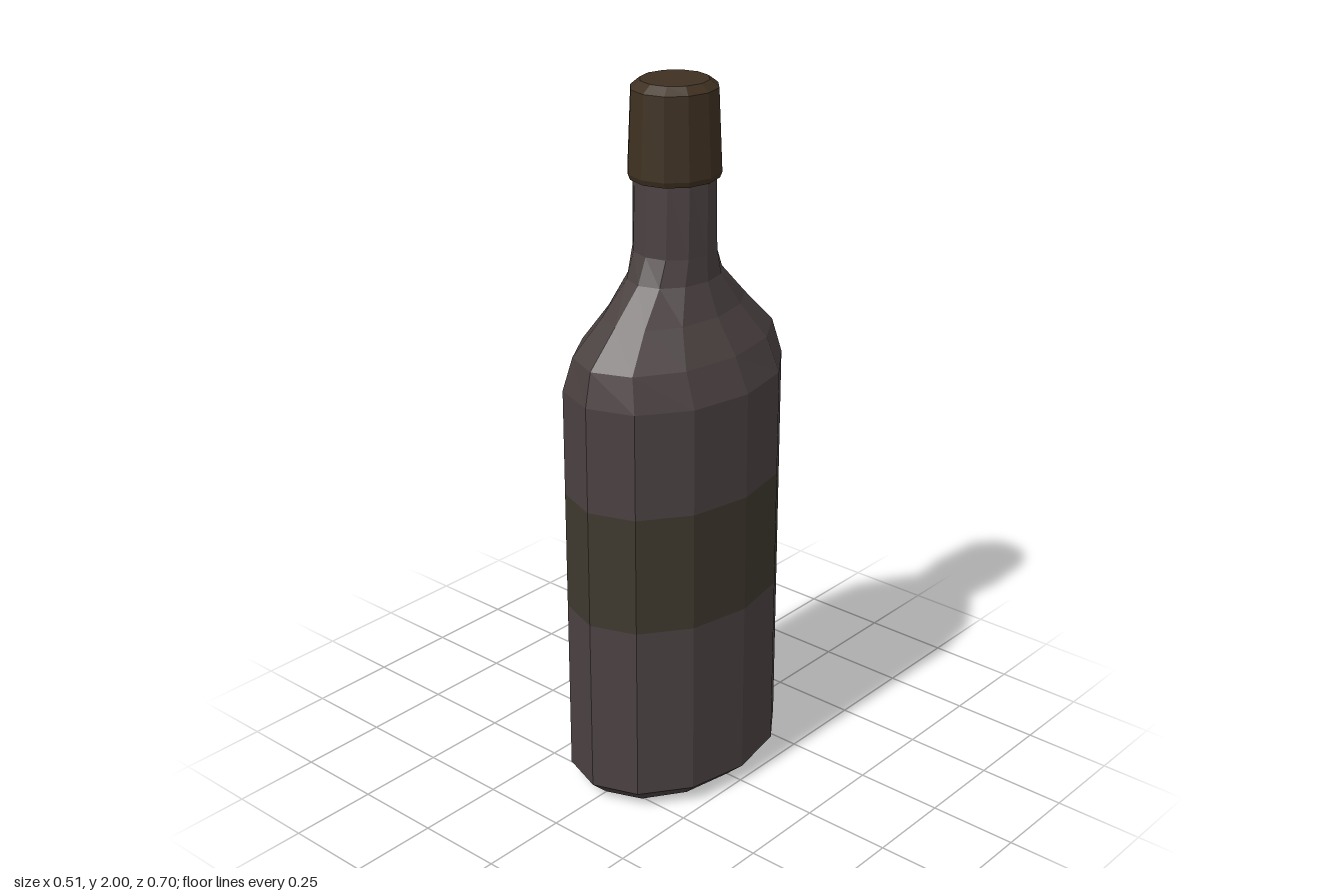
import * as THREE from 'three';

const SIDES = 12;

// Lofts 12-sided oval rings given as [y, x radius, z radius], bottom to top
function ovalLoft(name, color, rings) {
  const geo = new THREE.LatheGeometry(rings.map(([y, rx]) => new THREE.Vector2(rx, y)), SIDES);
  const pos = geo.attributes.position;
  for (let i = 0; i < pos.count; i++) {
    const side = Math.floor(i / rings.length);
    const rz = rings[i % rings.length][2];
    pos.setZ(i, rz * Math.cos((side / SIDES) * Math.PI * 2));
  }
  geo.computeVertexNormals();
  const mat = new THREE.MeshStandardMaterial({ color, flatShading: true });
  const mesh = new THREE.Mesh(geo, mat);
  mesh.name = name;
  return mesh;
}

export function createModel() {
  const group = new THREE.Group();
  group.name = 'bottle';
  const glass = 0x4b4141, label = 0x3e392e, capColor = 0x3f3122;

  // Base with bevelled foot, up to the label
  group.add(ovalLoft('lowerBody', glass, [
    [0, 0, 0], [0, 0.2, 0.295], [0.05, 0.255, 0.35], [0.56, 0.255, 0.35],
  ]));

  // Label band, flush with the body
  group.add(ovalLoft('label', label, [[0.56, 0.255, 0.35], [0.9, 0.255, 0.35]]));

  // Upper body, sloping shoulders and round neck
  group.add(ovalLoft('shouldersAndNeck', glass, [
    [0.9, 0.255, 0.35],
    [1.2, 0.255, 0.35],
    [1.295, 0.212, 0.33],
    [1.39, 0.15, 0.235],
    [1.48, 0.115, 0.145],
    [1.55, 0.113, 0.115],
    [1.76, 0.113, 0.107],
  ]));

  // Tapered cap with a lip below and a bevelled top
  group.add(ovalLoft('cap', capColor, [
    [1.745, 0.1, 0.1],
    [1.745, 0.117, 0.124],
    [1.76, 0.123, 0.13],
    [1.98, 0.113, 0.121],
    [2, 0.09, 0.093],
    [2, 0, 0],
  ]));

  return group;
}
